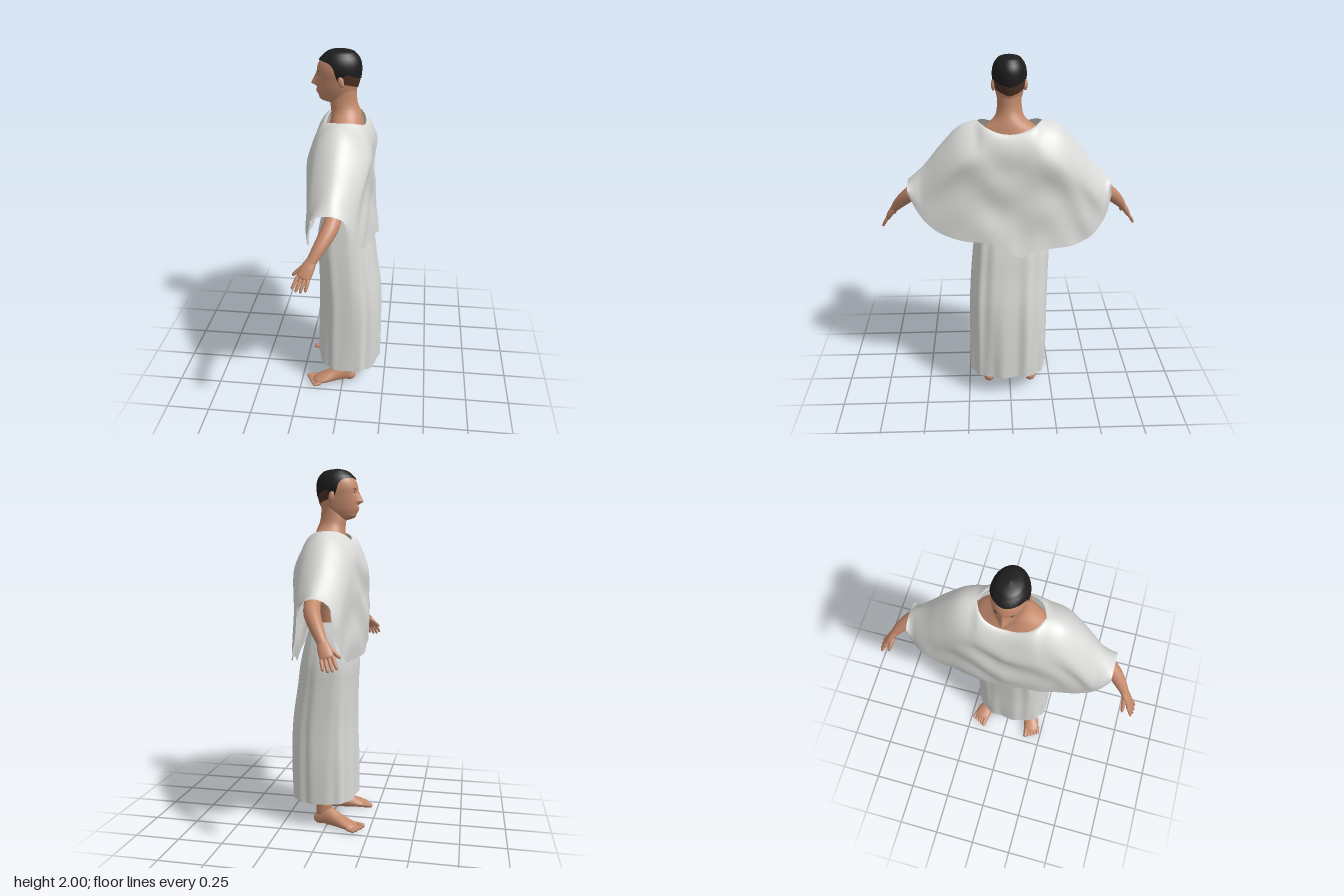
import * as THREE from 'three';
import { mergeVertices, mergeGeometries } from 'three/addons/utils/BufferGeometryUtils.js';

const mat = (name, color, side = THREE.FrontSide) => {
  const m = new THREE.MeshStandardMaterial({ color, side });
  m.name = name;
  return m;
};

// Smooth lookup: the first column is the key, the rest are interpolated
function table(rows) {
  const n = rows[0].length - 1;
  const it = new THREE.CubicInterpolant(rows.map(r => r[0]), rows.flatMap(r => r.slice(1)), n, new Float32Array(n));
  const lo = rows[0][0], hi = rows[rows.length - 1][0];
  return t => [...it.evaluate(THREE.MathUtils.clamp(t, lo, hi - 1e-6))];
}

// Grid surface from fn(u, v) -> [x, y, z]; outside is du x dv
function surface(nu, nv, fn) {
  const pos = [], idx = [];
  for (let j = 0; j <= nv; j++) for (let i = 0; i <= nu; i++) pos.push(...fn(i / nu, j / nv));
  for (let j = 0; j < nv; j++) for (let i = 0; i < nu; i++) {
    const a = j * (nu + 1) + i, b = a + nu + 1;
    idx.push(a, a + 1, b, a + 1, b + 1, b);
  }
  const g = new THREE.BufferGeometry();
  g.setAttribute('position', new THREE.Float32BufferAttribute(pos, 3));
  g.setIndex(idx);
  return g;
}
function smooth(g) {
  const m = mergeVertices(g, 1e-5);
  m.computeVertexNormals();
  return m;
}

// Tapered limb through points [x, y, z, radius along side, other radius]
function limb(points, side = [1, 0, 0], nu = 16, nv = 24) {
  const curve = new THREE.CatmullRomCurve3(points.map(p => new THREE.Vector3(p[0], p[1], p[2])));
  const radii = table(points.map((p, i) => [i / (points.length - 1), p[3], p[4] ?? p[3]]));
  return smooth(surface(nu, nv, (u, v) => {
    const w = 0.5 - 0.5 * Math.cos(v * Math.PI);      // rings gather at the round ends
    const c = curve.getPoint(w), t = curve.getTangent(w);
    const n = new THREE.Vector3(...side);
    n.addScaledVector(t, -n.dot(t)).normalize();
    const b = t.clone().cross(n), [rn, rb] = radii(w);
    const e = Math.min(1, Math.min(w, 1 - w) / 0.12), cap = Math.sqrt(Math.max(0, 1 - (1 - e) ** 2));
    const a = u * 2 * Math.PI;
    c.addScaledVector(n, rn * cap * Math.cos(a)).addScaledVector(b, rb * cap * Math.sin(a));
    return c.toArray();
  }));
}

// Head outline by height: face x, back x, half width
const HX = -0.03;
const headRow = table([[1.72, -.07, .03, .02], [1.735, -.122, .04, .042], [1.76, -.14, .05, .058],
  [1.8, -.149, .062, .071], [1.85, -.149, .076, .08], [1.9, -.146, .081, .087], [1.94, -.131, .075, .081],
  [1.967, -.106, .057, .066], [1.986, -.074, .027, .042], [1.995, -.032, -.028, .002]]);
const bell = (d, s) => Math.exp(-d * d / (2 * s * s));
function headPoint(a, y, k = 1) {
  const [f, b, w] = headRow(y), c = Math.cos(a);
  let x = HX - c * (c > 0 ? HX - f : b - HX);
  const z = w * Math.sin(a);
  if (c > 0 && k === 1) {
    const up = y > 1.822 ? Math.max(0, 1 - (y - 1.822) / 0.06) : Math.max(0, 1 - (1.822 - y) / 0.014);
    x -= 0.029 * up * bell(z, 0.008 + 0.006 * up);                       // nose
    x += 0.007 * bell(Math.abs(z) - 0.032, 0.012) * bell(y - 1.87, 0.009); // eye sockets
    x -= 0.005 * bell(z, 0.018) * (bell(y - 1.79, 0.004) + bell(y - 1.778, 0.004)); // lips
  }
  return [HX + (x - HX) * k, 1.86 + (y - 1.86) * k, z * k];
}

export function createModel() {
  const skin = mat('skin', 0xc48a6c), hair = mat('hair', 0x1d1d1d, THREE.DoubleSide);
  const nape = mat('croppedHair', 0x4d3022, THREE.DoubleSide);
  const cloth = mat('cloth', 0xdadad8, THREE.DoubleSide);
  const root = new THREE.Group();
  root.name = 'robedMan';
  const add = (name, geo, m, parent = root) => {
    const mesh = new THREE.Mesh(geo, m);
    mesh.name = name;
    parent.add(mesh);
    return mesh;
  };
  const TAU = Math.PI * 2;

  // Torso and neck
  const body = table([[1.08, -.09, .09, .15], [1.3, -.11, .1, .165], [1.45, -.13, .115, .18], [1.55, -.115, .115, .185],
    [1.6, -.09, .1, .175], [1.64, -.076, .093, .13], [1.68, -.074, .082, .082], [1.72, -.08, .066, .068], [1.82, -.07, .058, .064]]);
  add('torso', smooth(surface(40, 40, (u, v) => {
    const y = 1.08 + 0.74 * v, [f, b, w] = body(y), a = u * TAU;
    return [(f + b) / 2 - (b - f) / 2 * Math.cos(a), y, w * Math.sin(a)];
  })), skin);

  // Head, hair cap and cropped nape
  add('head', smooth(surface(112, 80, (u, v) => {
    const y = v < 0.85 ? 1.72 + 0.27 * v : 1.9495 + 0.0455 * Math.sin((v - 0.85) / 0.15 * Math.PI / 2);
    return headPoint(u * TAU, y);
  })), skin);
  const hairline = table([[0, 1.94], [45, 1.94], [72, 1.926], [82, 1.9], [88, 1.852], [98, 1.846], [105, 1.873], [140, 1.866], [180, 1.852]]);
  const lineAt = a => hairline(Math.abs(a > Math.PI ? TAU - a : a) * 180 / Math.PI)[0];
  add('hair', smooth(surface(72, 20, (u, v) => {
    const a = u * TAU, lo = lineAt(a);
    return headPoint(a, lo + (1.995 - lo) * Math.sin(v * Math.PI / 2), 1.05);
  })), hair);
  add('napeHair', smooth(surface(30, 6, (u, v) => {
    const a = (105 + 150 * u) * Math.PI / 180, lo = 1.805 + 0.03 * Math.abs(2 * u - 1);
    return headPoint(a, lo + (lineAt(a) + 0.004 - lo) * v, 1.025);
  })), nape);

  // Cape: two hanging panels that meet along the arms, with a neck opening
  const ridge = table([[0, 1.665], [.17, 1.662], [.27, 1.63], [.37, 1.53], [.46, 1.42], [.56, 1.325]]);
  const hem = table([[-.56, 1.25], [-.545, 1.17], [-.5, 1.08], [-.4, 1.0], [-.25, .98], [-.13, .97], [-.07, .935], [0, .97],
    [.1, 1.02], [.25, 1.03], [.37, 1.06], [.46, 1.12], [.52, 1.2], [.56, 1.28]]);
  const reach = table([[0, -.183, .162], [.2, -.172, .154], [.3, -.157, .14], [.4, -.147, .118], [.5, -.137, .09], [.56, -.11, .06]]);
  const panel = back => surface(80, 40, (u, v) => {
    const z = 0.56 * Math.sin((back ? u - 0.5 : 0.5 - u) * Math.PI), az = Math.abs(z);
    const q = Math.min(1, az / 0.165), c = Math.sqrt(1 - q ** 3);
    const x0 = (back ? 0.11 : -0.1) * c - 0.02 * az / 0.56;
    const y0 = ridge(az)[0] - 0.05 * (1 - q * q);
    const y1 = back ? hem(z)[0] : Math.max(hem(z)[0], 0.985);
    const drop = y0 - y1, d = drop * v ** 1.9;
    const s = Math.min(1, d / Math.min(0.2, 0.8 * drop));
    const mid = 1 - az / 0.56, t = d / drop;
    // soft shoulder: rounded over the arm, straighter below the collar
    const arch = 0.75 * Math.sqrt(1 - (1 - s) ** 2) + 0.25 * Math.sin(s * Math.PI / 2);
    let x = x0 + (reach(az)[back ? 1 : 0] - x0) * arch;
    x += mid * (back ? 0.03 * t ** 4 - 0.012 * bell(t - 0.6, 0.15) : -0.018 * bell(t - 0.75, 0.2));
    const calm = s * (1 - 0.6 * t) * Math.min(1, (0.56 - az) / 0.15);
    x += calm * (0.007 * Math.sin(15 * z + (back ? 20 : -20) * d + 1) + 0.004 * Math.sin(27 * d - 9 * z));
    return [x, y0 - d, z];
  });
  add('cape', smooth(mergeGeometries([panel(false), panel(true)])), cloth);

  // Long skirt with hanging folds
  const waist = table([[.145, -.152, .212, .245, .21], [.35, -.15, .216, .24, .215], [.6, -.143, .208, .235, .215],
    [.8, -.147, .18, .222, .22], [.95, -.152, .16, .207, .222], [1.08, -.13, .13, .19, .2], [1.17, -.1, .1, .172, .175]]);
  const box = c => Math.sign(c) * Math.abs(c) ** 0.75;
  add('skirt', smooth(surface(144, 40, (u, v) => {
    const y = 0.145 + 1.025 * v, [f, b, l, r] = waist(y), a = u * TAU;
    const ca = box(Math.cos(a)), sa = box(Math.sin(a));
    const fold = 1 + (0.03 * (1 - v) + 0.016) * (0.6 * Math.sin(11 * a + 1.5 * v) + 0.4 * Math.sin(17 * a - 2 * v));
    return [((f + b) / 2 - (b - f) / 2 * ca) * fold, y + 0.005 * Math.cos(a) * (1 - v), (sa > 0 ? l : r) * sa * (1 + (fold - 1) * 0.4)];
  })), cloth);

  // Paired parts, mirrored across z
  for (const s of [1, -1]) {
    const flip = pts => pts.map(([x, y, z, ...r]) => [x, y, z * s, ...r]);
    const label = s > 0 ? 'left' : 'right';
    const ball = (name, m, p, size) => {
      const mesh = add(name, new THREE.SphereGeometry(1, 16, 12), m);
      mesh.position.set(p[0], p[1], p[2] * s);
      mesh.scale.set(...size);
      return mesh;
    };

    // Ear, eye and brow
    ball(label + 'Ear', skin, [-.014, 1.848, .083], [.016, .03, .013]).rotation.z = 0.2;
    const eye = headPoint(0.4, 1.87);
    ball(label + 'Eye', nape, [eye[0] + .002, 1.87, eye[2]], [.004, .003, .008]);
    const brow = headPoint(0.42, 1.889);
    ball(label + 'Brow', hair, [brow[0] + .002, 1.889, brow[2]], [.004, .0025, .014]).rotation.y = s * 0.35;

    // Arm and hand
    const arm = new THREE.Group();
    arm.name = label + 'Arm';
    root.add(arm);
    add('armLimb', limb(flip([[.01, 1.54, .14, .06], [.01, 1.44, .3, .052], [0, 1.3, .475, .043], [-.015, 1.25, .545, .042],
      [-.055, 1.185, .612, .034], [-.093, 1.125, .66, .025, .021], [-.11, 1.1, .677, .02, .016]])), skin, arm);
    add('palm', limb(flip([[-.083, 1.145, .645, .024, .02], [-.106, 1.1, .678, .034, .018], [-.126, 1.055, .705, .034, .013]])), skin, arm);
    for (let i = 0; i < 4; i++) {
      const o = (i - 1.5) * 0.018, l = [0.92, 1, 0.95, 0.78][i];
      const b = [-.121 + .91 * o, 1.068 - .31 * o, .697 + .26 * o];
      const at = (k, r) => [b[0] + (-.026 + o * .3) * k * l, b[1] - .068 * k * l, b[2] + (.05 - .01 * k) * k * l, r];
      add('finger', limb(flip([at(0, .0095), at(0.55, .009), at(1, .007)]), [1, 0, 0], 10, 12), skin, arm);
    }
    add('thumb', limb(flip([[-.106, 1.12, .66, .013], [-.145, 1.09, .666, .012], [-.182, 1.058, .672, .008]]), [0, 1, 0], 10, 12), skin, arm);

    // Leg, foot and toes
    const leg = new THREE.Group();
    leg.name = label + 'Leg';
    root.add(leg);
    add('legLimb', limb(flip([[.028, .012, .13, .03, .028], [.02, .08, .13, .045, .036], [.015, .16, .128, .046, .038], [.02, .35, .122, .055],
      [0, .6, .11, .06], [0, .85, .1, .075], [0, 1.1, .09, .08]])), skin, leg);
    add('foot', limb(flip([[.077, .026, .122, .024, .024], [.045, .036, .128, .034, .036], [0, .054, .135, .037, .054],
      [-.06, .04, .152, .041, .04], [-.12, .027, .172, .05, .027], [-.18, .016, .186, .045, .015]]), [0, 0, 1]), skin, leg);
    for (let i = 0; i < 5; i++) {
      const z = 0.15 + 0.0195 * i, r = i ? 0.0105 : 0.015;
      add('toe', limb(flip([[-.125, .018, z - .008, r], [-.185 + .006 * i, r + .003, z, r], [-.22 + .011 * i, r, z + .003, r * .9]]),
        [0, 0, 1], 10, 12), skin, leg);
    }
  }
  return root;
}
